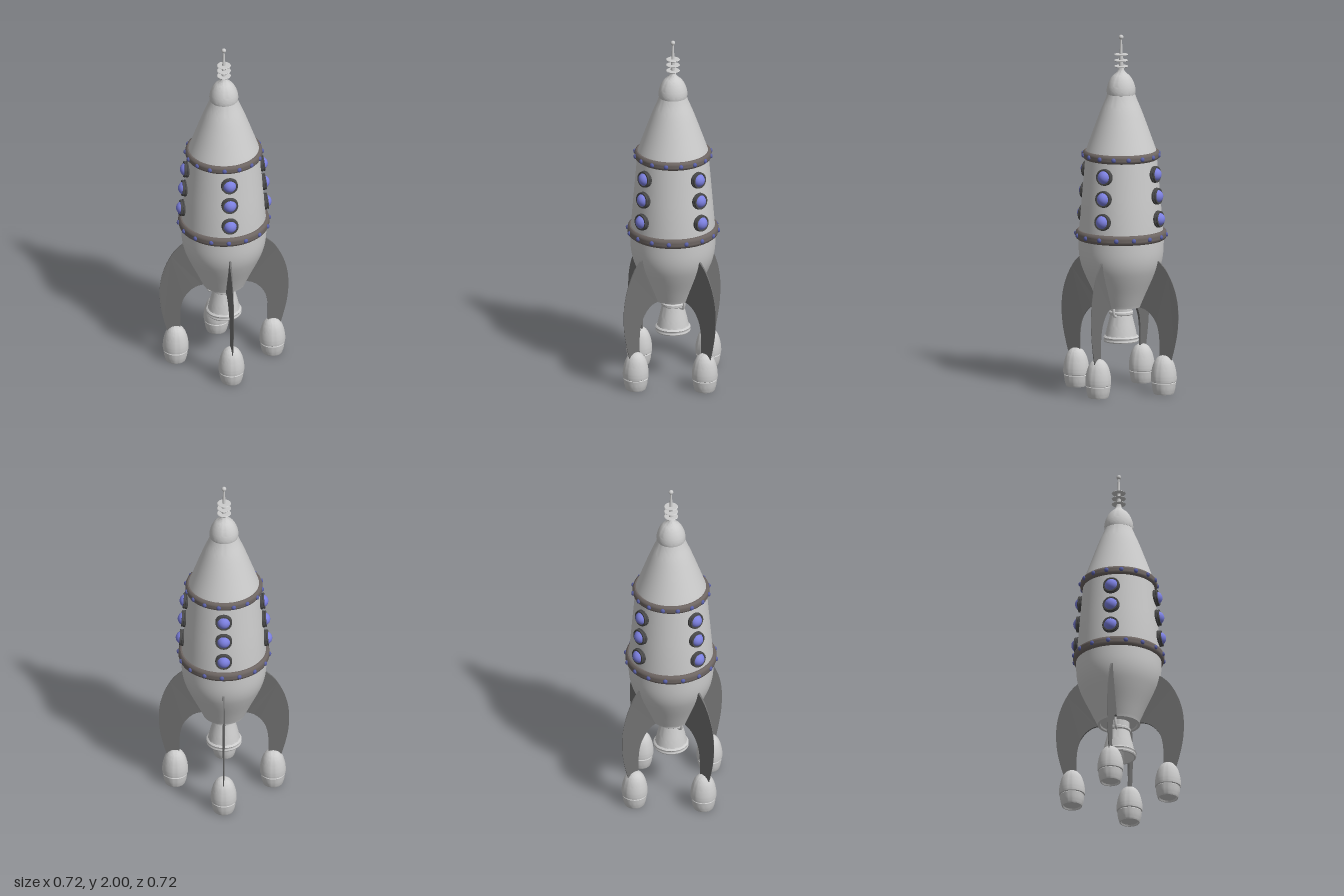
import * as THREE from 'three';
import { toCreasedNormals } from 'three/addons/utils/BufferGeometryUtils.js';

const mat = (color) => new THREE.MeshStandardMaterial({ color });
const grey = mat(0xcccccc);
const finGrey = mat(0x707070);
const bandBrown = mat(0x6e6663);
const frameDark = mat(0x4a4a4a);
const blue = mat(0x7c80e0);
const rivetBlue = mat(0x5a60a8);

const vec = (pts) => pts.map(([x, y]) => new THREE.Vector2(x, y));
const smooth = (pts, n = 24) => new THREE.SplineCurve(vec(pts)).getPoints(n);

function add(parent, name, geometry, material) {
  const mesh = new THREE.Mesh(geometry, material);
  mesh.name = name;
  parent.add(mesh);
  return mesh;
}

function lathe(points, segments = 48) {
  return toCreasedNormals(new THREE.LatheGeometry(points, segments), 0.6);
}

// Hull radius between the two bands
const hullRadius = (y) => THREE.MathUtils.mapLinear(y, 0.86, 1.33, 0.237, 0.197);

// Rounded band with a ring of rivets
function addBand(parent, name, y, radius, height, phase) {
  const band = new THREE.Group();
  band.name = name;
  band.position.y = y;
  parent.add(band);
  const h = height / 2, r = radius;
  add(band, 'bandRing', lathe(vec([
    [r - 0.035, -h], [r - 0.012, -h], [r - 0.004, -h * 0.75], [r, -h * 0.3],
    [r, h * 0.3], [r - 0.004, h * 0.75], [r - 0.012, h], [r - 0.035, h],
  ]), 64), bandBrown);
  const rivetGeo = new THREE.SphereGeometry(0.013, 12, 8);
  for (let i = 0; i < 16; i++) {
    const a = phase + (i / 16) * Math.PI * 2;
    const rivet = add(band, 'rivet', rivetGeo, rivetBlue);
    rivet.position.set(Math.sin(a) * r, 0, Math.cos(a) * r);
    rivet.rotation.y = a;
    rivet.scale.z = 0.75;
  }
}

// Porthole facing +z: stepped frame and glass dome
function makePorthole() {
  const port = new THREE.Group();
  port.name = 'porthole';
  const frame = add(port, 'portholeFrame', lathe(vec([
    [0.047, -0.02], [0.047, 0.006], [0.044, 0.008], [0.044, 0.012],
    [0.046, 0.014], [0.044, 0.02], [0.036, 0.02], [0.036, -0.005],
  ]), 32), frameDark);
  frame.rotation.x = Math.PI / 2;
  const glass = add(port, 'portholeGlass', new THREE.SphereGeometry(0.037, 28, 18), blue);
  glass.position.z = 0.004;
  return port;
}

// Curved fin in the x-y plane, thinning towards its outer edge
function finGeometry() {
  const s = new THREE.Shape();
  s.moveTo(0.205, 0.76);
  s.lineTo(0.236, 0.745);
  s.splineThru(vec([[0.285, 0.695], [0.33, 0.61], [0.355, 0.52], [0.361, 0.43],
    [0.354, 0.34], [0.335, 0.25], [0.315, 0.18]]));
  s.lineTo(0.245, 0.18);
  s.splineThru(vec([[0.246, 0.27], [0.243, 0.33], [0.228, 0.39], [0.195, 0.438],
    [0.155, 0.466], [0.112, 0.476]]));
  s.lineTo(0.135, 0.56);
  s.lineTo(0.18, 0.66);
  const g = new THREE.ExtrudeGeometry(s, { depth: 0.012, bevelEnabled: false, curveSegments: 24 });
  g.translate(0, 0, -0.006);
  const p = g.attributes.position;
  for (let i = 0; i < p.count; i++) {
    const k = THREE.MathUtils.clamp((0.375 - p.getX(i)) / 0.15, 0.15, 1);
    p.setZ(i, p.getZ(i) * k);
  }
  g.computeVertexNormals();
  return g;
}

export function createModel() {
  const model = new THREE.Group();
  model.name = 'rocket';

  const hull = new THREE.Group();
  hull.name = 'hull';
  hull.position.z = -0.007;
  model.add(hull);

  // Body shell, from tail to the foot of the nose
  add(hull, 'body', lathe([
    ...vec([[0, 0.482], [0.1, 0.482], [0.104, 0.474], [0.118, 0.474]]),
    ...smooth([[0.121, 0.482], [0.152, 0.55], [0.197, 0.645], [0.222, 0.71], [0.234, 0.775], [0.237, 0.86]]),
    ...vec([[hullRadius(1.1), 1.1], [0.197, 1.33]]),
  ], 64), grey);

  // Nose cone and rounded cap
  add(hull, 'noseCone', lathe(
    smooth([[0.203, 1.325], [0.192, 1.36], [0.167, 1.43], [0.14, 1.505], [0.112, 1.58], [0.087, 1.64], [0.073, 1.68]]),
    64), grey);
  add(hull, 'noseCap', lathe([
    ...vec([[0.068, 1.662], [0.078, 1.668]]),
    ...smooth([[0.081, 1.685], [0.077, 1.712], [0.066, 1.742], [0.05, 1.767], [0.03, 1.785], [0.018, 1.8], [0.013, 1.82]]),
  ]), grey);

  // Antenna with three discs and a ball tip
  const rod = add(hull, 'antennaRod', new THREE.CylinderGeometry(0.004, 0.014, 0.19, 20), grey);
  rod.position.y = 1.895;
  const tip = add(hull, 'antennaTip', new THREE.SphereGeometry(0.013, 20, 14), grey);
  tip.position.y = 1.987;
  for (const y of [1.823, 1.856, 1.889]) {
    const disc = add(hull, 'antennaDisc', lathe(
      vec([[0, -0.003], [0.036, -0.003], [0.039, 0], [0.036, 0.003], [0, 0.003]])), grey);
    disc.position.y = y;
  }

  // Riveted bands
  addBand(hull, 'lowerBand', 0.88, 0.253, 0.053, -0.04);
  addBand(hull, 'upperBand', 1.328, 0.214, 0.047, -0.13);

  // Four columns of three portholes
  const tilt = Math.atan2(0.04, 0.47);
  for (let i = 0; i < 4; i++) {
    const column = new THREE.Group();
    column.name = 'portholeColumn';
    column.rotation.y = (i * Math.PI) / 2;
    hull.add(column);
    for (const y of [0.98, 1.108, 1.23]) {
      const port = makePorthole();
      port.position.set(0, y, hullRadius(y));
      port.rotation.x = -tilt;
      column.add(port);
    }
  }

  // Hollow engine nozzle
  add(hull, 'engineNozzle', lathe([
    ...vec([[0, 0.4], [0.045, 0.4], [0.06, 0.35], [0.078, 0.3], [0.086, 0.274],
      [0.094, 0.274], [0.098, 0.281], [0.094, 0.288], [0.094, 0.294], [0.098, 0.3], [0.093, 0.306]]),
    ...smooth([[0.088, 0.308], [0.079, 0.35], [0.068, 0.395], [0.061, 0.425]], 10),
    ...vec([[0.067, 0.43], [0.067, 0.442], [0.06, 0.448], [0.06, 0.485]]),
  ]), grey);

  // Fuel pipes bending from the tail into the nozzle
  for (const side of [-1, 1]) {
    const path = new THREE.CatmullRomCurve3(
      [[0.092, 0.485], [0.093, 0.45], [0.084, 0.428], [0.066, 0.424], [0.05, 0.43]]
        .map(([x, y]) => new THREE.Vector3(side * x, y, 0)));
    add(hull, 'fuelPipe', new THREE.TubeGeometry(path, 20, 0.007, 10), grey);
  }

  // Four fins, each standing on an egg-shaped foot
  const finGeo = finGeometry();
  const footGeo = lathe([
    ...vec([[0, 0.008], [0.046, 0.008], [0.05, 0], [0.055, 0]]),
    ...smooth([[0.057, 0.004], [0.064, 0.03], [0.068, 0.063]], 6),
    ...vec([[0.065, 0.067], [0.071, 0.071]]),
    ...smooth([[0.072, 0.08], [0.0715, 0.105], [0.066, 0.14], [0.055, 0.175], [0.039, 0.2], [0.02, 0.213], [0, 0.217]]),
  ]);
  for (let i = 0; i < 4; i++) {
    const leg = new THREE.Group();
    leg.name = 'landingLeg';
    leg.rotation.y = (i * Math.PI) / 2;
    model.add(leg);
    add(leg, 'fin', finGeo, finGrey);
    add(leg, 'foot', footGeo, grey).position.x = 0.271;
  }

  return model;
}
